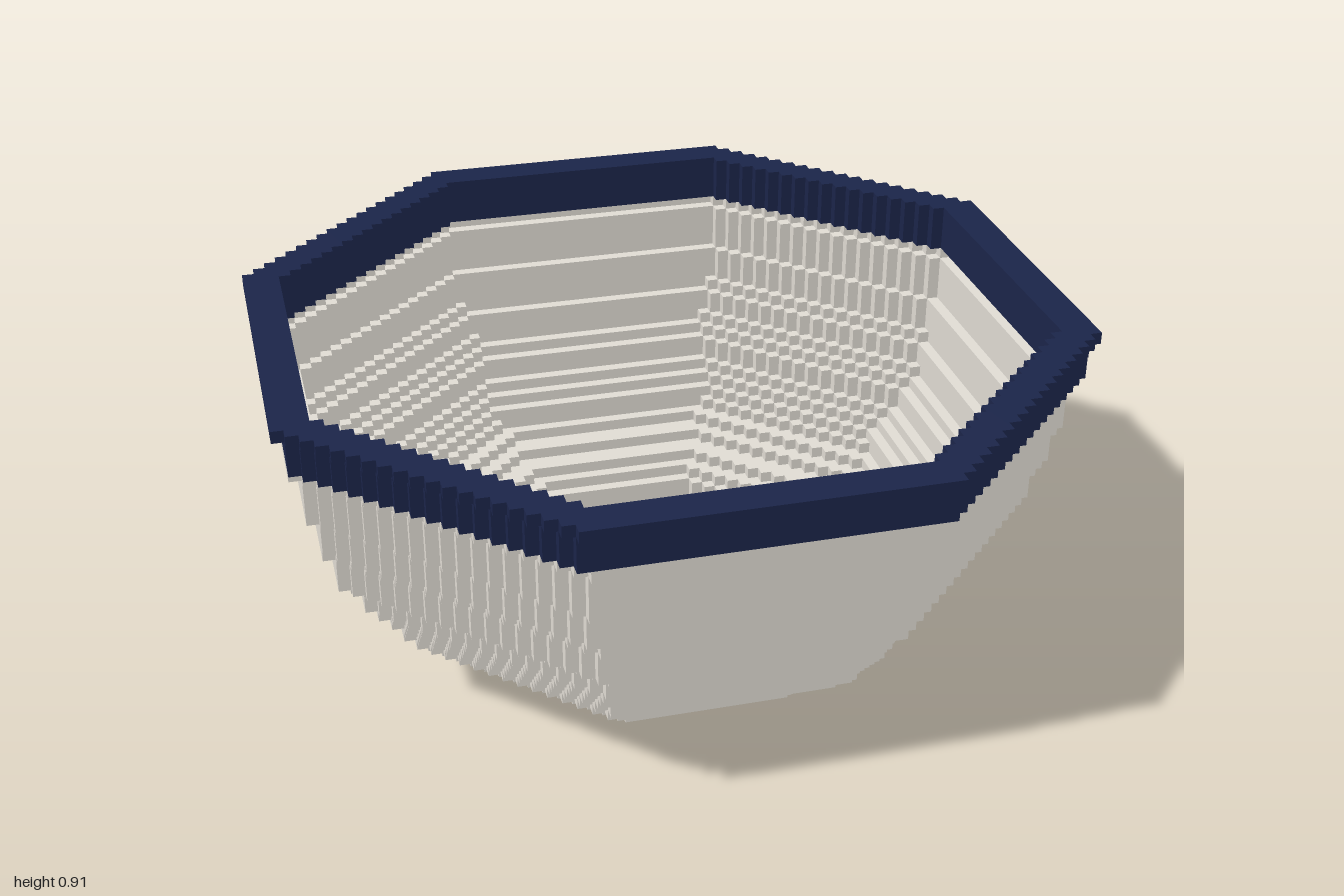
import * as THREE from 'three';

const V = 2 / 66; // one block
const RIM_ROW = 26;

// Outer octagon radius of every row, in blocks, from the foot up
const RADII = [
  15.9, 16.5, 16.9, 18, 20, 21.8, 22.8, 23.6, 24.2, 24.9,
  25.8, 26.6, 26.8, 27.55, 28.55, 28.7, 28.9, 29.5, 29.8, 30,
  30.2, 30.6, 30.8, 30.9, 31, 31.5, 32, 32, 32, 33,
];

// A stepped octagon: n is its half width, d limits x + z along the diagonals
const octagon = (radius) => ({ n: Math.round(radius), d: Math.floor(radius * Math.SQRT2) });
const depth = (o, column) => (column < o.n ? Math.min(o.n, o.d - column) : 0);

const OUTER = RADII.map(octagon);
// The hollow lies one block inside the outer skin; the rim is thicker
const INNER = OUTER.map((o, row) => {
  if (row === 0) return null;
  if (row >= RIM_ROW) return octagon(30);
  const below = OUTER[row - 1];
  return { n: Math.min(o.n - 1, below.n), d: Math.min(o.d - 1, below.d) };
});

// Corners of a stepped octagon, from +z round to +x and on
function outline(o) {
  let quadrant = [];
  for (let i = 0; i < o.n - 1; i++) {
    const here = depth(o, i), next = depth(o, i + 1);
    if (here !== next) quadrant.push([i + 1, here], [i + 1, next]);
  }
  quadrant.push([o.n, depth(o, o.n - 1)]);
  const points = [];
  for (let q = 0; q < 4; q++) {
    points.push(...quadrant);
    quadrant = quadrant.map(([x, z]) => [z, -x]);
  }
  return points;
}

function addQuad(out, a, b, c, d, flip) {
  const corners = flip ? [a, c, b, a, d, c] : [a, b, c, a, c, d];
  for (const p of corners) out.push(p[0] * V, p[1] * V, p[2] * V);
}

// Upright faces of one row
function addWall(out, o, row, inward) {
  const points = outline(o);
  points.forEach(([x0, z0], i) => {
    const [x1, z1] = points[(i + 1) % points.length];
    addQuad(out, [x0, row, z0], [x1, row, z1], [x1, row + 1, z1], [x0, row + 1, z0], inward);
  });
}

// Level face between two octagons, or a full plate when there is no small one
function addLedge(out, big, small, y, down) {
  const inside = (c) => (small ? depth(small, c) : 0);
  for (let c = 0; c < big.n;) {
    const lo = inside(c), hi = depth(big, c);
    let end = c + 1;
    while (end < big.n && inside(end) === lo && depth(big, end) === hi) end++;
    if (hi > lo) {
      for (const [x0, x1] of [[c, end], [-end, -c]]) {
        for (const [z0, z1] of [[lo, hi], [-hi, -lo]]) {
          addQuad(out, [x0, y, z0], [x0, y, z1], [x1, y, z1], [x1, y, z0], down);
        }
      }
    }
    c = end;
  }
}

function makeMesh(name, positions, material) {
  const geometry = new THREE.BufferGeometry();
  geometry.setAttribute('position', new THREE.Float32BufferAttribute(positions, 3));
  geometry.computeVertexNormals();
  const mesh = new THREE.Mesh(geometry, material);
  mesh.name = name;
  return mesh;
}

export function createModel() {
  const cream = new THREE.MeshStandardMaterial({ color: 0xe1ddd5 });
  cream.name = 'cream';
  const navy = new THREE.MeshStandardMaterial({ color: 0x1b254a });
  navy.name = 'navy';

  const base = [], wall = [], rim = [];
  const partOf = (row) => (row === 0 ? base : row < RIM_ROW ? wall : rim);
  const top = OUTER.length - 1;

  // Foot and floor
  addLedge(base, OUTER[0], null, 0, true);
  addLedge(base, INNER[1], null, 1, false);

  for (let row = 0; row <= top; row++) {
    // Upright skin outside and inside
    addWall(partOf(row), OUTER[row], row, false);
    if (row > 0) addWall(partOf(row), INNER[row], row, true);
    if (row === top) continue;
    // Steps under the next row, and ledges inside the bowl
    addLedge(partOf(row + 1), OUTER[row + 1], OUTER[row], row + 1, true);
    if (row === RIM_ROW - 1) addLedge(rim, INNER[row], INNER[row + 1], row + 1, true);
    else if (row > 0) addLedge(partOf(row), INNER[row + 1], INNER[row], row + 1, false);
  }
  // Top of the rim
  addLedge(rim, OUTER[top], INNER[top], top + 1, false);

  const model = new THREE.Group();
  model.name = 'bowl';
  model.add(makeMesh('base', base, cream), makeMesh('wall', wall, cream), makeMesh('rim', rim, navy));
  return model;
}
